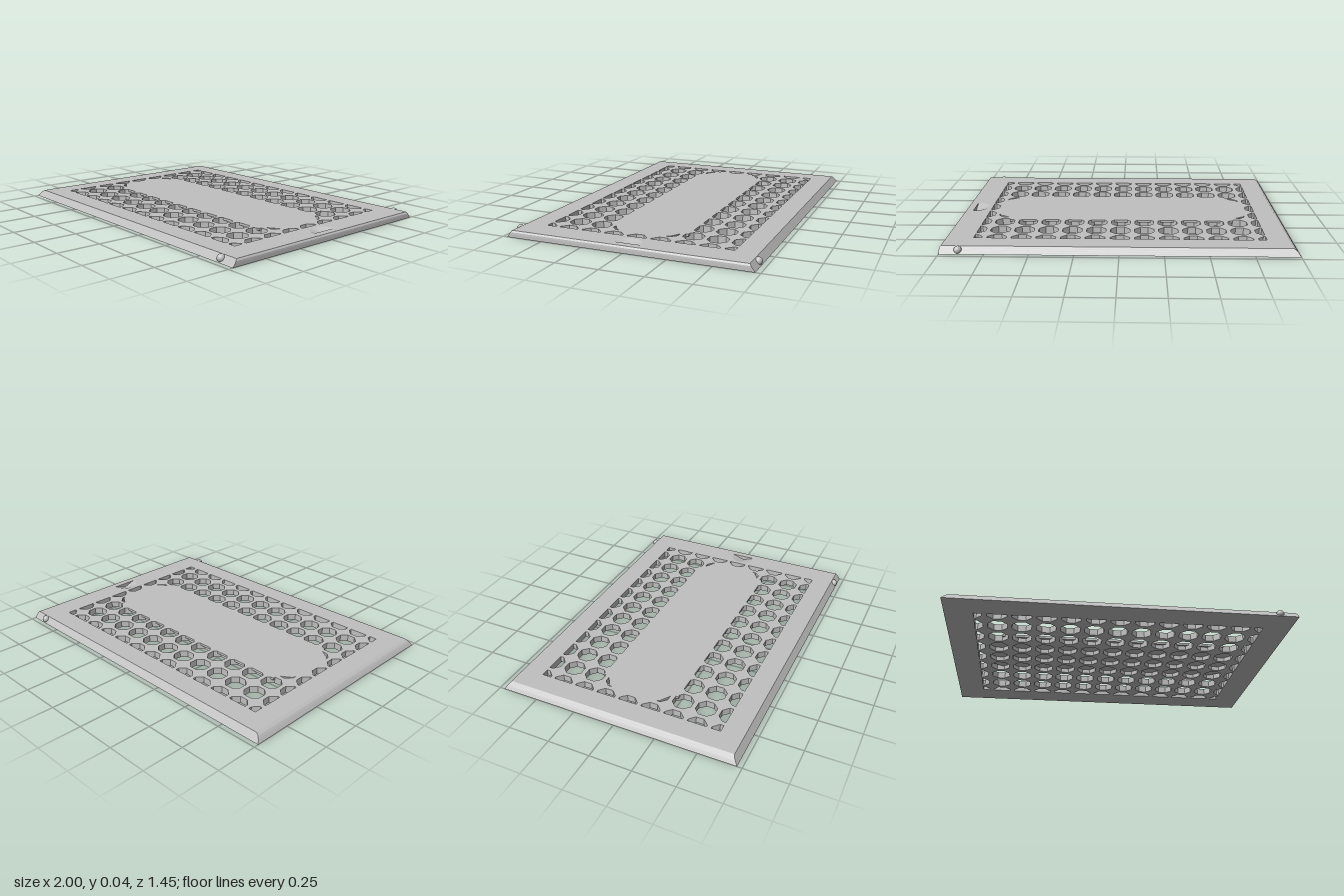
import * as THREE from 'three';

const HEIGHT = 0.04, HALF_X = 1, HALF_Z = 0.722;
const PITCH = 0.1413, HOLE = 0.057, OPEN_X = 0.837, OPEN_Z = 0.563;
const NOTCH_X = 0.948, NOTCH_W = 0.08, NOTCH_L = 0.087;

const toVectors = (pts) => pts.map(([x, y]) => new THREE.Vector2(x, y));
const clamp = THREE.MathUtils.clamp;

// Extrude an outline lying in the ground plane upwards from y = base
function slab(shape, base, depth, steps = 1) {
  const geo = new THREE.ExtrudeGeometry(shape, { depth, steps, bevelEnabled: false });
  return geo.rotateX(-Math.PI / 2).translate(0, base, 0);
}

// Regular octagon trimmed to the rectangular grille area
function octagonHole(cx, cz) {
  const pts = [], radius = HOLE / Math.cos(Math.PI / 8);
  for (let i = 0; i < 8; i++) {
    const a = -(i + 0.5) * Math.PI / 4;
    const p = new THREE.Vector2(
      clamp(cx + radius * Math.cos(a), -OPEN_X, OPEN_X),
      clamp(cz + radius * Math.sin(a), -OPEN_Z, OPEN_Z));
    if (!pts.some((q) => q.distanceTo(p) < 1e-5)) pts.push(p);
  }
  return new THREE.Path(pts);
}

// Half-ellipse rim of the finger notch, with its straight side towards +x
function notchRim() {
  const pts = [];
  for (let i = 0; i <= 20; i++) {
    const a = Math.PI / 2 + Math.PI * i / 20;
    pts.push([NOTCH_X + NOTCH_L * Math.cos(a), NOTCH_W * Math.sin(a)]);
  }
  return pts;
}

export function createModel() {
  const group = new THREE.Group();
  const grey = new THREE.MeshStandardMaterial({ color: 0xc0c0c0 });
  grey.name = 'grey plastic';
  const add = (geo, name) => {
    const mesh = new THREE.Mesh(geo, grey);
    mesh.name = name;
    group.add(mesh);
    return mesh;
  };

  // Lid plate perforated by the octagon grid and the notch
  const outline = new THREE.Shape(toVectors([
    [-HALF_X, -HALF_Z], [HALF_X, -HALF_Z], [HALF_X, HALF_Z], [-HALF_X, HALF_Z]]));
  for (let i = -6; i <= 6; i++)
    for (let j = -4; j <= 4; j++) outline.holes.push(octagonHole(i * PITCH, j * PITCH));
  const rim = notchRim();
  outline.holes.push(new THREE.Path(toVectors(rim)));
  const plate = slab(outline, 0, HEIGHT, 4);

  // Slope the two long edges and the left end inwards; ease the right end
  const pos = plate.attributes.position;
  for (let i = 0; i < pos.count; i++) {
    const x = pos.getX(i), z = pos.getZ(i), t = pos.getY(i) / HEIGHT;
    if (Math.abs(z) > 0.71) pos.setZ(i, z - Math.sign(z) * 0.03 * t);
    if (x < -0.99) pos.setX(i, x + 0.026 * t + 0.012 * t ** 6);
    if (x > 0.99) pos.setX(i, x - 0.008 * t ** 8);
  }
  plate.computeVertexNormals();
  add(plate, 'perforatedLid');

  // Solid centre panel closing the upper part of the middle holes
  const corner = [[0.785, 0], [0.777, 0.1], [0.757, 0.16], [0.695, 0.2], [0.685, 0.205], [0.685, 0.242]];
  const half = [...corner, ...corner.map(([x, z]) => [-x, z]).reverse()];
  const panel = [...half, ...half.slice(1, -1).map(([x, z]) => [x, -z]).reverse()];
  add(slab(new THREE.Shape(toVectors(panel)), 0.026, HEIGHT - 0.026), 'centrePanel');

  // Finger notch: sloping scoop that is deepest at the straight wall
  const scoop = [], apex = [NOTCH_X, 0.012, 0];
  const top = rim.map(([x, z]) => [x, HEIGHT, -z]);
  for (let i = 0; i < top.length; i++) {
    scoop.push(...top[i], ...top[(i + 1) % top.length], ...apex);
  }
  const scoopGeo = new THREE.BufferGeometry();
  scoopGeo.setAttribute('position', new THREE.Float32BufferAttribute(scoop, 3));
  scoopGeo.computeVertexNormals();
  add(scoopGeo, 'fingerNotch');

  // Underside closing the plate below the notch
  add(slab(new THREE.Shape(toVectors(rim)), 0, 0.004), 'notchFloor');

  // Snap bumps on both long edges
  for (const side of [1, -1]) {
    const bump = add(new THREE.SphereGeometry(0.022, 24, 16), side > 0 ? 'frontSnapBump' : 'backSnapBump');
    bump.position.set(0.895, 0.022, side * 0.705);
  }
  return group;
}
